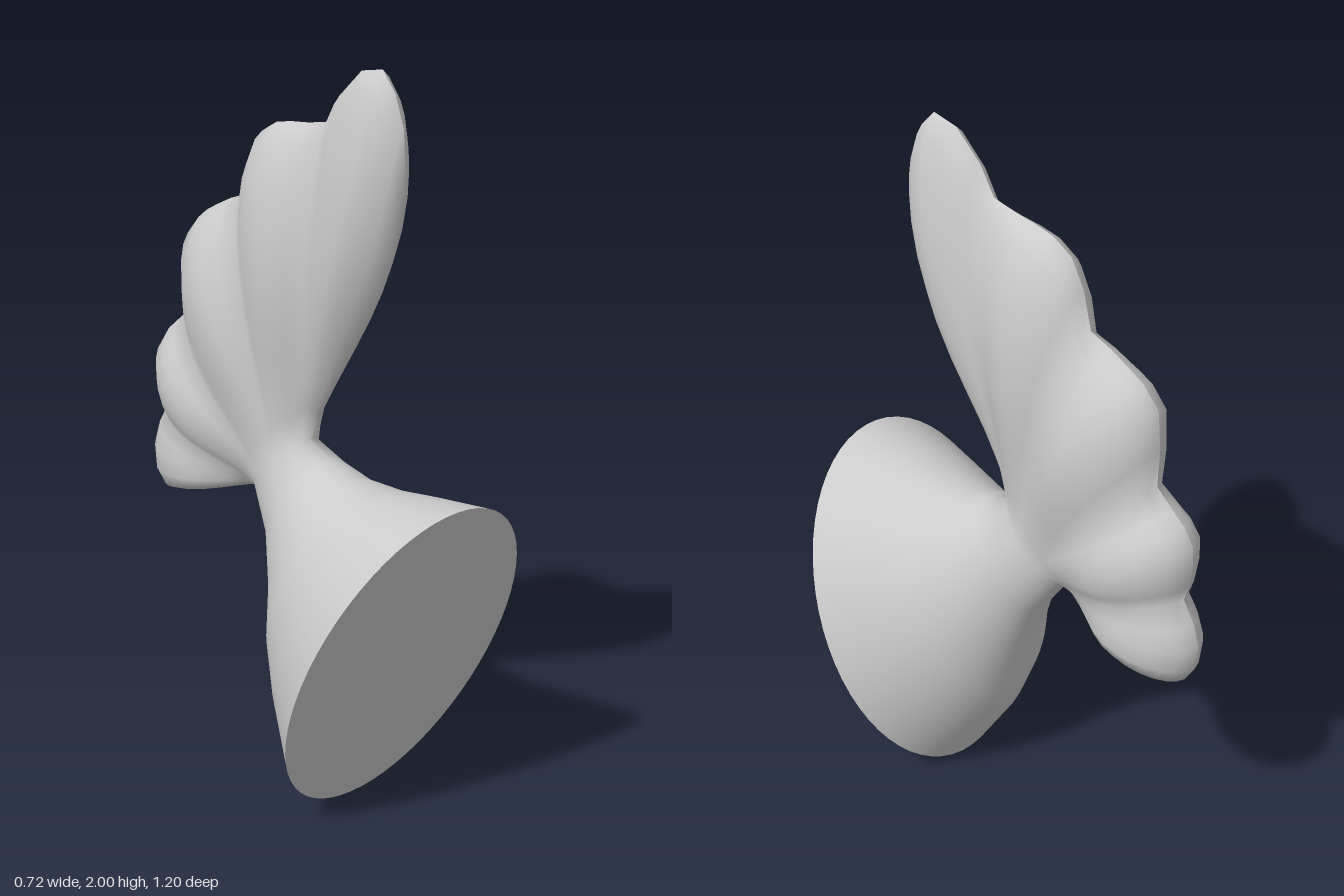
import * as THREE from 'three';

// Tip outline as [z, y]: five lobes of six points each, plus the end point
const outline = [
  [.39, 1.76], [.382, 1.87], [.35, 1.95], [.305, 2], [.23, 1.985], [.15, 1.91],
  [.105, 1.835], [.03, 1.82], [-.03, 1.812], [-.09, 1.8], [-.15, 1.765], [-.19, 1.69],
  [-.215, 1.585], [-.28, 1.56], [-.34, 1.53], [-.385, 1.505], [-.435, 1.45], [-.445, 1.34],
  [-.44, 1.23], [-.49, 1.185], [-.53, 1.15], [-.56, 1.105], [-.563, 1.04], [-.555, .98],
  [-.54, .93], [-.575, .87], [-.595, .805], [-.585, .73], [-.555, .68], [-.51, .67],
  [-.46, .685],
];
const N = outline.length - 1;

// Stalk sections: top [z, y], bottom [z, y], half width
const stalk = [
  [[.6, .95], [.215, 0], .36],
  [[.44, .93], [.1, .18], .29],
  [[.31, .91], [.035, .33], .235],
  [[.2, .91], [0, .48], .175],
  [[.12, .935], [-.065, .66], .12],
  [[.04, .975], [-.155, .79], .078],
];

// Half thickness of the fan at alternating valleys and ridges
const ribs = [0, .088, .07, .115, .09, .135, .1, .135, .1, .112, 0];

const lerp = THREE.MathUtils.lerp;

function ribThickness(k) {
  const i = Math.min(Math.floor(k / 3), ribs.length - 2);
  const f = k / 3 - i;
  const rising = i % 2 === 0;
  const [valley, ridge] = rising ? [ribs[i], ribs[i + 1]] : [ribs[i + 1], ribs[i]];
  return lerp(valley, ridge, Math.sin((rising ? f : 1 - f) * Math.PI / 2));
}

// Point on the +x half of a stalk section
function stalkPoint([top, bottom, width], k) {
  const a = Math.PI * k / N, f = (1 - Math.cos(a)) / 2;
  return [width * Math.sin(a), lerp(top[1], bottom[1], f), lerp(top[0], bottom[0], f)];
}

// Point on the +x half of the fan, t running from neck to tip
function fanPoint(t, k) {
  const root = stalkPoint(stalk[stalk.length - 1], k);
  const bend = .065 * Math.sin(Math.PI * t ** 1.5) * (1 - k / N) ** 3;
  const tip = Math.max(0, (t - .6) / .4);
  const round = Math.max(0, 1 - tip * tip) ** .6;
  const x = lerp(root[0], ribThickness(k), THREE.MathUtils.smoothstep(t, 0, .55)) * round;
  return [x, lerp(root[1], outline[k][1], t), lerp(root[2], outline[k][0], t) + bend];
}

// Mirror a half section into a closed ring
function ring(pointAt) {
  const pts = [];
  for (let k = 0; k <= N; k++) pts.push(pointAt(k));
  for (let k = N - 1; k > 0; k--) {
    const [x, y, z] = pointAt(k);
    pts.push([-x, y, z]);
  }
  return pts;
}

function makeGeometry(points, index) {
  const g = new THREE.BufferGeometry();
  g.setAttribute('position', new THREE.Float32BufferAttribute(points.flat(), 3));
  g.setIndex(index);
  g.computeVertexNormals();
  return g;
}

export function createModel() {
  const group = new THREE.Group();
  const material = new THREE.MeshStandardMaterial({ color: 0xcccccc });
  const add = (name, geometry) => {
    const mesh = new THREE.Mesh(geometry, material);
    mesh.name = name;
    group.add(mesh);
  };

  // Stalk flowing into the lobed fan
  const rings = stalk.map(s => ring(k => stalkPoint(s, k)));
  for (const t of [.1, .2, .3, .4, .5, .6, .7, .8, .88, .94, .98, 1]) {
    rings.push(ring(k => fanPoint(t, k)));
  }
  const n = 2 * N, index = [];
  for (let i = 0; i < rings.length - 1; i++) {
    for (let j = 0; j < n; j++) {
      const a = i * n + j, b = i * n + (j + 1) % n;
      index.push(a, b, a + n, b, b + n, a + n);
    }
  }
  add('tailFin', makeGeometry(rings.flat(), index));

  // Flat oval closing the wide end
  const capIndex = [];
  for (let j = 0; j < n; j++) capIndex.push(n, (j + 1) % n, j);
  add('endCap', makeGeometry([...rings[0], [0, .475, .4075]], capIndex));

  return group;
}
